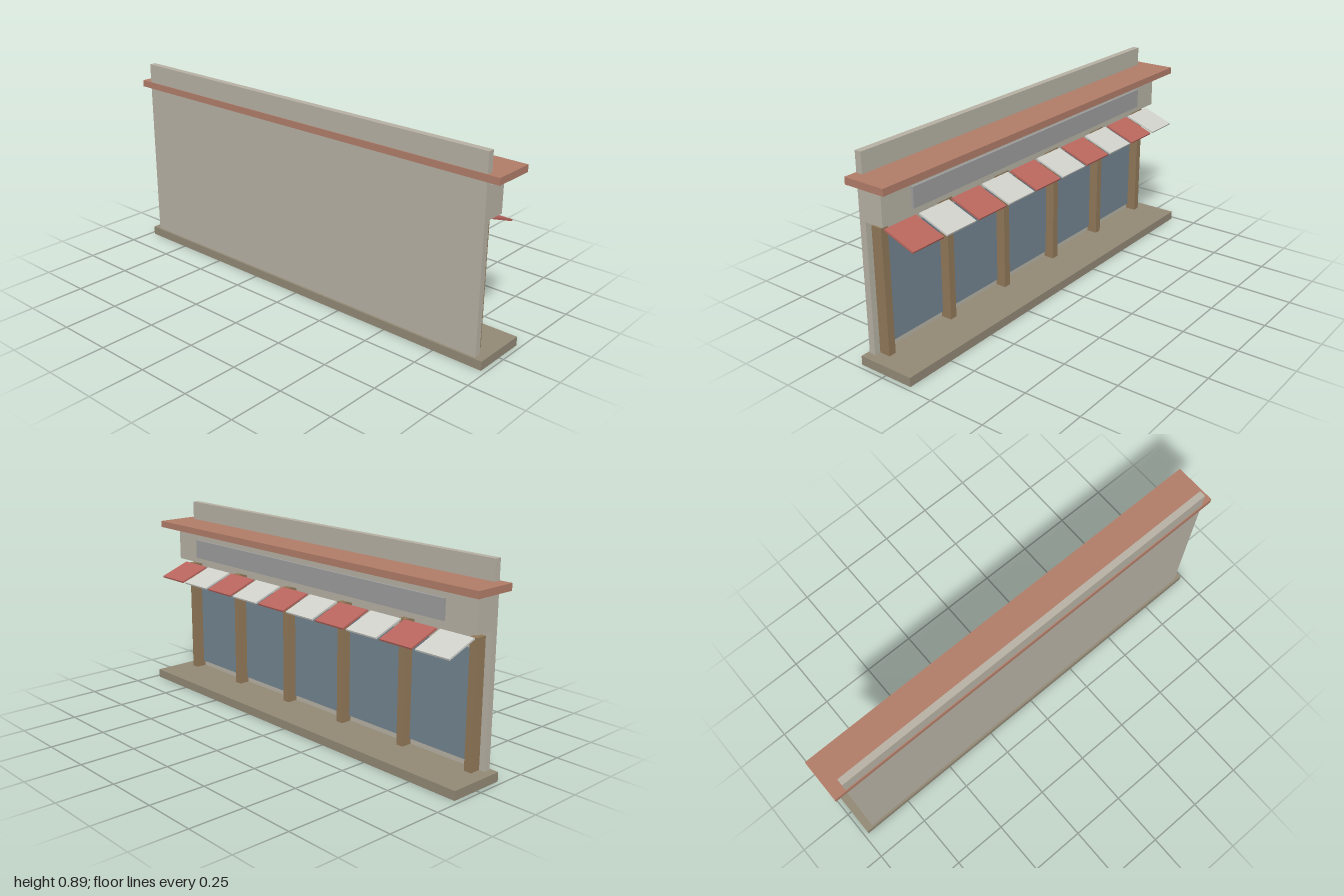
import * as THREE from 'three';

const mat = (color) => new THREE.MeshStandardMaterial({ color });

export function createModel() {
  const model = new THREE.Group();
  model.name = 'shopfront';

  const stone = mat(0xb5b0a2), paving = mat(0x918875), brick = mat(0xb07c68);
  const timber = mat(0x8f7757), glass = mat(0x71838f), panel = mat(0x9c9c9c);
  const red = mat(0xb8655c), white = mat(0xcfd0ca);

  // Box given by its low and high limits on each axis
  function box(name, material, [x0, x1], [y0, y1], [z0, z1]) {
    const mesh = new THREE.Mesh(new THREE.BoxGeometry(x1 - x0, y1 - y0, z1 - z0), material);
    mesh.position.set((x0 + x1) / 2, (y0 + y1) / 2, (z0 + z1) / 2);
    mesh.name = name;
    model.add(mesh);
    return mesh;
  }

  // Main structure
  box('base', paving, [-0.98, 0.98], [0, 0.04], [-0.13, 0.13]);
  box('wall', stone, [-0.945, 0.945], [0.04, 0.887], [0.09, 0.12]);
  box('cornice', brick, [-1, 1], [0.77, 0.8], [-0.07, 0.124]);
  box('fascia', stone, [-0.945, 0.945], [0.61, 0.75], [0.002, 0.09]);
  box('signPanel', panel, [-0.79, 0.79], [0.637, 0.725], [-0.01, 0.002]);

  // Pillars with a window in each bay between them
  const pitch = 0.36, pillarHalf = 0.0175;
  for (let i = 0; i < 6; i++) {
    const x = -0.9 + i * pitch;
    box('pillar', timber, [x - pillarHalf, x + pillarHalf], [0.04, 0.587], [0.04, 0.09]);
    if (i < 5) {
      box('window', glass, [x + pillarHalf, x + pitch - pillarHalf], [0.065, 0.525], [0.083, 0.09]);
    }
  }

  // Rail across the top of the central bay
  box('doorHeader', timber, [-0.16, 0.16], [0.5, 0.515], [0.068, 0.084]);

  // Sloping awning in alternating colours
  for (let i = 0; i < 10; i++) {
    const x = (i - 4.5) * 0.186;
    const slat = box('awningPanel', i % 2 ? red : white,
      [x - 0.084, x + 0.084], [0.559, 0.567], [-0.127, 0.025]);
    slat.rotation.x = -0.36;
  }

  return model;
}
